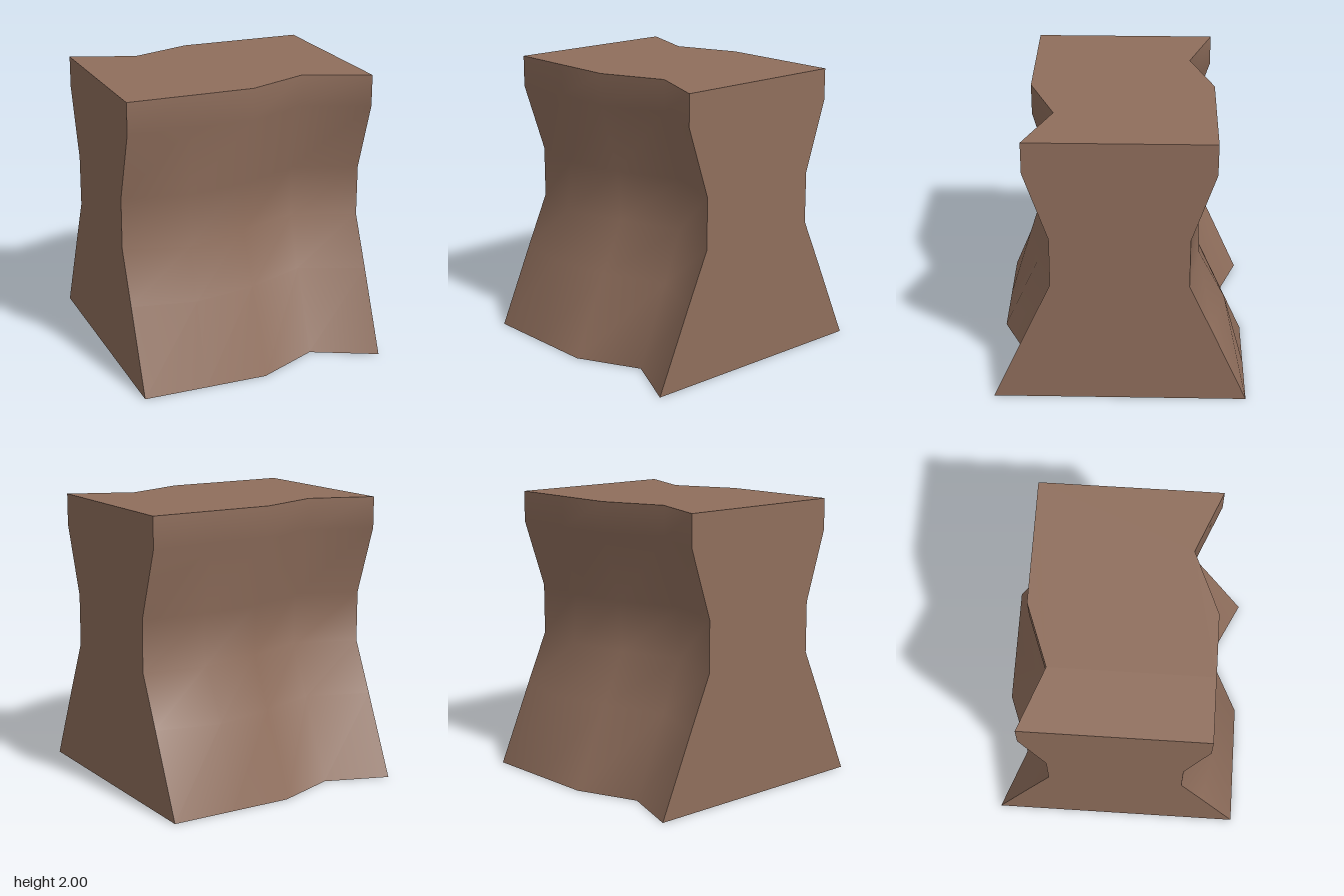
import * as THREE from 'three';

const W = 0.885;
const rows = [0, 0.57, 0.93, 1.29, 1.78, 2];
const cols = [-W, -0.44, 0, 0.44, W];

// depth of each vertical column from left to right, bottom to top
const corner = [0.885, 0.633, 0.47, 0.47, 0.633, 0.633];
const frontWall = [
  corner,
  [0.885, 0.715, 0.605, 0.565, 0.633, 0.633], // bulge
  [0.885, 0.633, 0.47, 0.495, 0.633, 0.633],  // centre
  [0.67, 0.45, 0.31, 0.31, 0.45, 0.45],       // valley
  corner,
];
const backWall = [
  corner,
  [0.885, 0.73, 0.545, 0.525, 0.633, 0.633],
  [0.885, 0.633, 0.47, 0.48, 0.633, 0.633],
  [0.72, 0.48, 0.32, 0.32, 0.47, 0.47],
  corner,
];

// smooth-shaded wall facing +z, lofted through the columns
function wallGeometry(columns) {
  const pos = [], index = [], n = rows.length;
  columns.forEach((c, i) => rows.forEach((y, j) => pos.push(cols[i], y, c[j])));
  for (let i = 0; i < cols.length - 1; i++) {
    for (let j = 0; j < n - 1; j++) {
      const a = i * n + j, b = a + n;
      index.push(a, b, b + 1, a, b + 1, a + 1);
    }
  }
  const g = new THREE.BufferGeometry();
  g.setAttribute('position', new THREE.Float32BufferAttribute(pos, 3));
  g.setIndex(index);
  g.computeVertexNormals();
  return g;
}

function polygon(points) {
  return new THREE.ShapeGeometry(new THREE.Shape(points.map(([x, y]) => new THREE.Vector2(x, y))));
}

export function createModel() {
  const group = new THREE.Group();
  group.name = 'block';
  const brown = new THREE.MeshStandardMaterial({ color: 0x8f6e5c, side: THREE.DoubleSide });
  brown.name = 'brown';
  const add = (name, geometry) => {
    const mesh = new THREE.Mesh(geometry, brown);
    mesh.name = name;
    group.add(mesh);
  };

  // curved front and back walls
  add('frontWall', wallGeometry(frontWall));
  add('backWall', wallGeometry(backWall).rotateY(Math.PI));

  // flat waisted sides
  const right = rows.map((y, j) => [corner[j], y]);
  const left = rows.map((y, j) => [-corner[j], y]).reverse();
  for (const s of [1, -1]) {
    add(s > 0 ? 'leftSide' : 'rightSide',
      polygon([...right, ...left]).rotateY(s * Math.PI / 2).translate(s * W, 0, 0));
  }

  // flat top following the upper wall edges; the bottom stays open
  const last = rows.length - 1;
  const front = cols.map((x, i) => [x, -frontWall[i][last]]);
  const back = cols.map((x, i) => [-x, backWall[i][last]]);
  add('top', polygon([...front, ...back]).rotateX(-Math.PI / 2).translate(0, 2, 0));

  return group;
}
